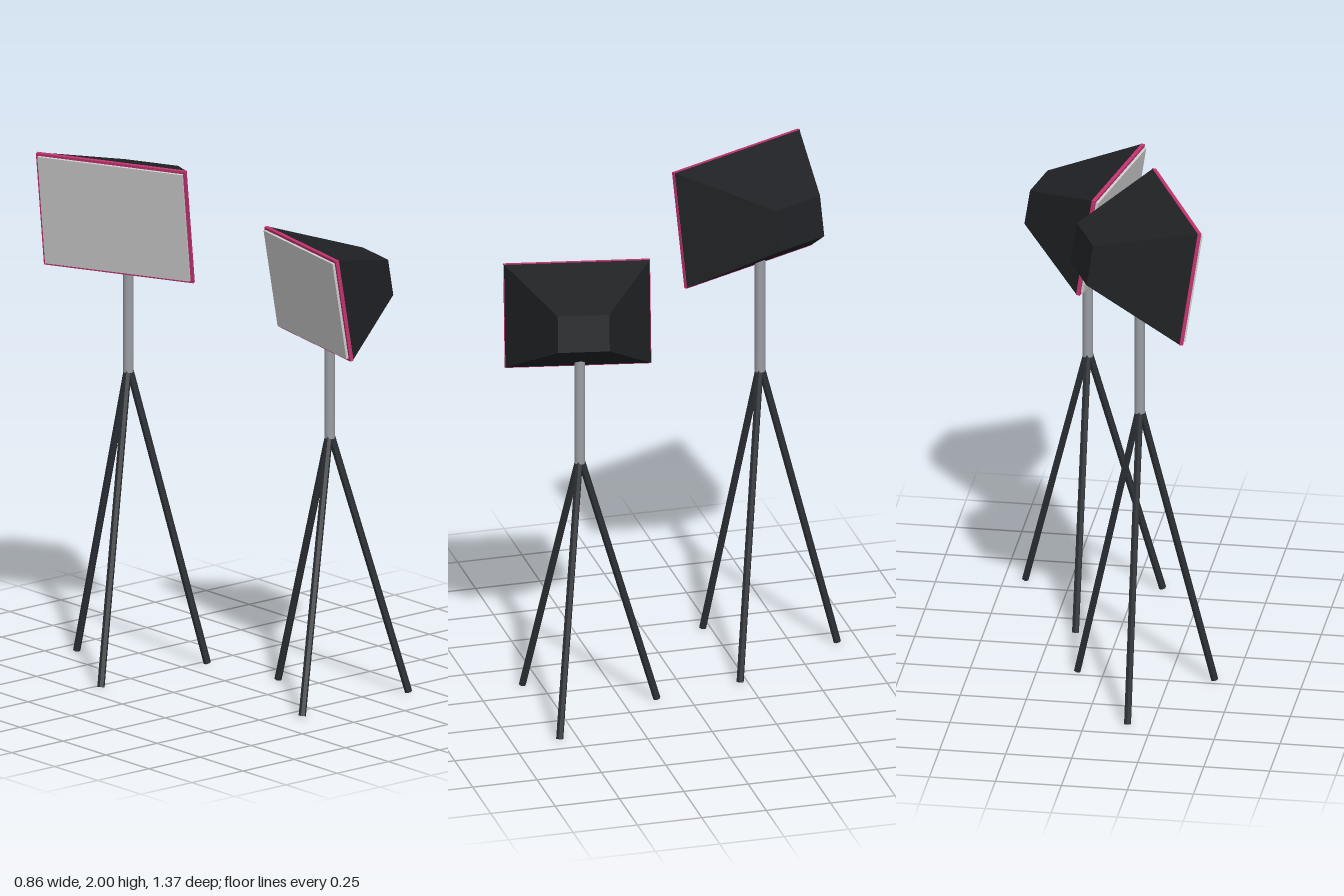
import * as THREE from 'three';

const mat = (color, flatShading = false) => new THREE.MeshStandardMaterial({ color, flatShading });
const fabric = mat(0x1f2124, true);
const legPaint = mat(0x2c3035, true);
const metal = mat(0x9a9da3);
const trim = mat(0xc2336f);
const diffuser = mat(0xcccccc);

function add(parent, name, geometry, material) {
  const mesh = new THREE.Mesh(geometry, material);
  mesh.name = name;
  parent.add(mesh);
  return mesh;
}

// Round bar between two points
function bar(parent, name, from, to, radius, sides, material) {
  const dir = to.clone().sub(from);
  const mesh = add(parent, name, new THREE.CylinderGeometry(radius, radius, dir.length(), sides), material);
  mesh.position.copy(from).add(to).multiplyScalar(0.5);
  mesh.quaternion.setFromUnitVectors(new THREE.Vector3(0, 1, 0), dir.normalize());
  return mesh;
}

// Box tapered towards its back
function taperedBox(w, h, d, taper) {
  const g = new THREE.BoxGeometry(w, h, d);
  const p = g.attributes.position;
  for (let i = 0; i < p.count; i++) {
    if (p.getZ(i) < 0) p.setXY(i, p.getX(i) * taper, p.getY(i) * taper);
  }
  g.computeVertexNormals();
  return g;
}

function softboxLight({ name, x, z, hubY, poleTop, face, yaw, width, height, depth }) {
  const light = new THREE.Group();
  light.name = name;

  // Tripod: one leg to the back, two to the front
  const hub = new THREE.Vector3(x, hubY, z);
  for (let i = 0; i < 3; i++) {
    const a = Math.PI + i * Math.PI * 2 / 3;
    const foot = new THREE.Vector3(x + 0.3 * Math.sin(a), 0.004, z + 0.3 * Math.cos(a));
    bar(light, 'tripodLeg', foot, hub, 0.014, 6, legPaint);
  }
  bar(light, 'pole', new THREE.Vector3(x, hubY - 0.03, z), new THREE.Vector3(x, poleTop, z), 0.02, 16, metal);

  // Head, turned and tipped slightly downwards
  const head = new THREE.Group();
  head.name = 'softboxHead';
  head.position.set(...face);
  head.rotation.set(0.157, yaw, 0, 'YXZ');
  light.add(head);

  const rim = 0.014;
  add(head, 'softboxShell', taperedBox(width - 0.004, height - 0.004, depth - rim, 0.355), fabric)
    .position.z = -(depth + rim) / 2;
  add(head, 'rimTrim', new THREE.BoxGeometry(width, height, rim), trim).position.z = -rim / 2;
  add(head, 'diffuserPanel', new THREE.BoxGeometry(width - 0.02, height - 0.02, 0.01), diffuser)
    .position.z = 0.005;
  return light;
}

export function createModel() {
  const model = new THREE.Group();
  model.name = 'studioLights';
  model.add(
    softboxLight({
      name: 'tallLight', x: -0.16, z: -0.37, hubY: 1.18, poleTop: 1.7,
      face: [-0.265, 1.775, -0.325], yaw: -1.137, width: 0.617, height: 0.456, depth: 0.345,
    }),
    softboxLight({
      name: 'shortLight', x: 0.16, z: 0.42, hubY: 1.035, poleTop: 1.52,
      face: [0.065, 1.577, 0.403], yaw: -1.762, width: 0.55, height: 0.402, depth: 0.307,
    }),
  );
  return model;
}
